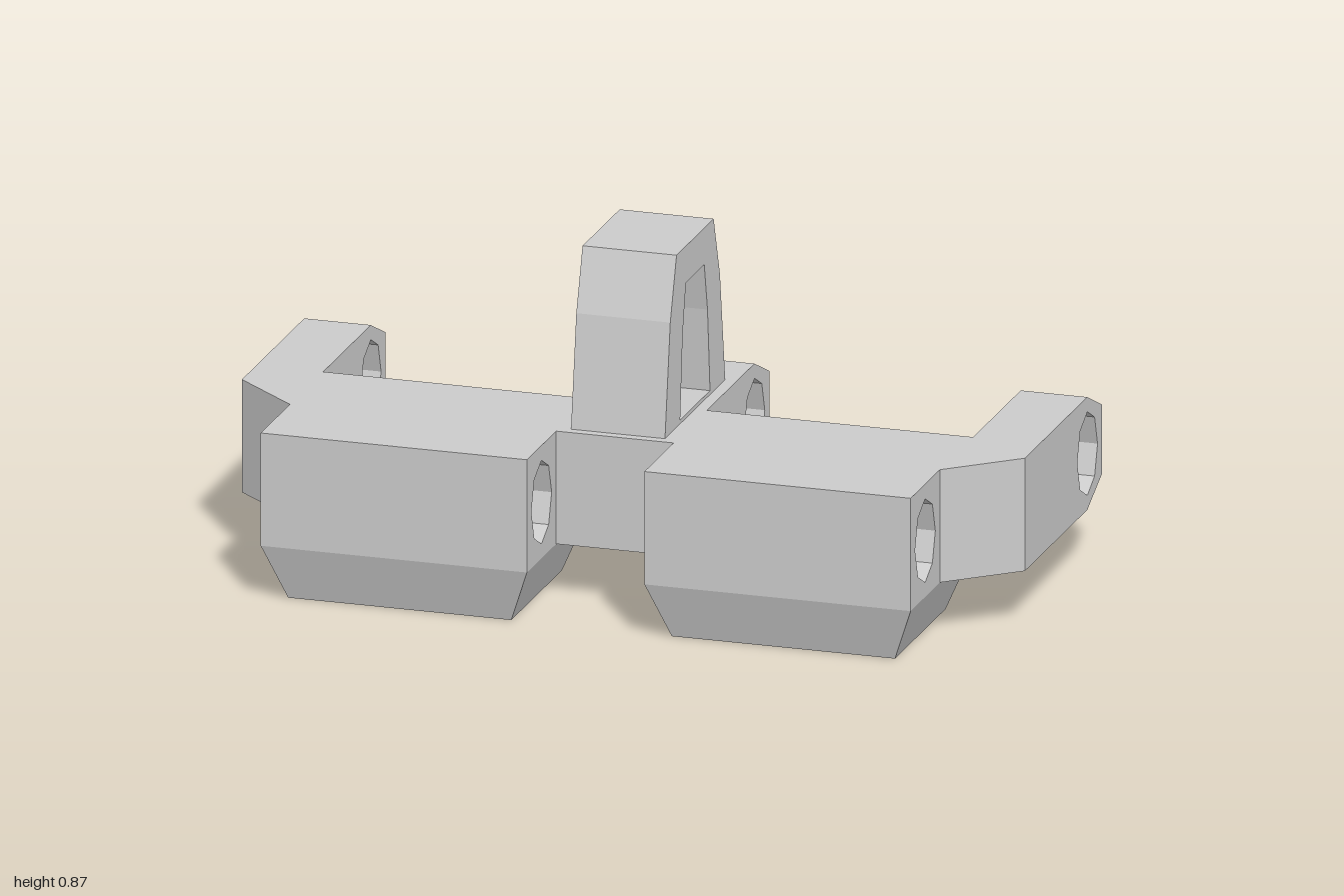
import * as THREE from 'three';

const material = new THREE.MeshStandardMaterial({ color: 0xcccccc, flatShading: true });

// Eight-sided pin hole centred on depth z
function pinHole(z) {
  const points = [];
  for (let i = 0; i < 8; i++) {
    const a = (i * Math.PI) / 4;
    points.push([z + 0.081 * Math.cos(a), 0.286 + 0.107 * Math.sin(a)]);
  }
  return points;
}

// Extrude a side profile of [z, y] points from x0 to x1; the hole winds the opposite way
function extrudeSide(profile, hole, x0, x1) {
  const toPoints = (list) => list.map(([z, y]) => new THREE.Vector2(-z, y));
  const shape = new THREE.Shape(toPoints(profile));
  shape.holes.push(new THREE.Path(toPoints(hole).reverse()));
  const geometry = new THREE.ExtrudeGeometry(shape, { depth: x1 - x0, bevelEnabled: false });
  geometry.rotateY(Math.PI / 2);
  geometry.translate(x0, 0, 0);
  return geometry;
}

export function createModel() {
  const group = new THREE.Group();
  const add = (name, geometry) => {
    geometry.computeVertexNormals();
    const mesh = new THREE.Mesh(geometry, material);
    mesh.name = name;
    group.add(mesh);
  };

  const bottom = 0.142, top = 0.431, end = 0.498;
  const blockProfile = [[end, bottom], [end, top], [0, top], [0, bottom]];
  const armProfile = [
    [0.265, bottom], [0.265, top], [-0.38, top],
    [-end, 0.375], [-end, 0.198], [-0.38, bottom],
  ];

  for (const [side, s] of [['left', 1], ['right', -1]]) {
    const span = (a, b) => (s > 0 ? [a, b] : [-b, -a]);

    // Main block with the front pin hole
    add(side + 'Block', extrudeSide(blockProfile, pinHole(0.382), ...span(0.15, 0.83)));

    // Outer hinge arm, its front slanted back toward the outside
    const arm = extrudeSide(armProfile, pinHole(-0.381), ...span(0.83, 1));
    const p = arm.attributes.position;
    for (let i = 0; i < p.count; i++) {
      if (Math.abs(p.getX(i)) > 0.99 && p.getZ(i) > 0.26) p.setZ(i, 0.117);
    }
    add(side + 'OuterArm', arm);

    // Ground pad tapering downward
    const pad = new THREE.BoxGeometry(0.68, bottom, end).toNonIndexed();
    const q = pad.attributes.position;
    for (let i = 0; i < q.count; i++) {
      if (q.getY(i) < 0) {
        q.setX(i, Math.sign(q.getX(i)) * 0.285);
        q.setZ(i, Math.sign(q.getZ(i)) * 0.202);
      }
    }
    pad.translate(s * 0.49, bottom / 2, end / 2);
    add(side + 'GroundPad', pad);
  }

  // Middle hinge arm joining the two blocks
  add('centreArm', extrudeSide(armProfile, pinHole(-0.381), -0.15, 0.15));

  // Arched guide tooth with its window
  const mirrored = (half) => [...half, ...half.map(([z, y]) => [-z, y]).reverse()];
  const toothOutline = mirrored([[0.12, 0.425], [0.24, top], [0.198, 0.715], [0.148, 0.872]]);
  const toothWindow = mirrored([[0.119, 0.441], [0.099, 0.655], [0.073, 0.778]]);
  add('guideTooth', extrudeSide(toothOutline, toothWindow, -0.12, 0.12));

  return group;
}
